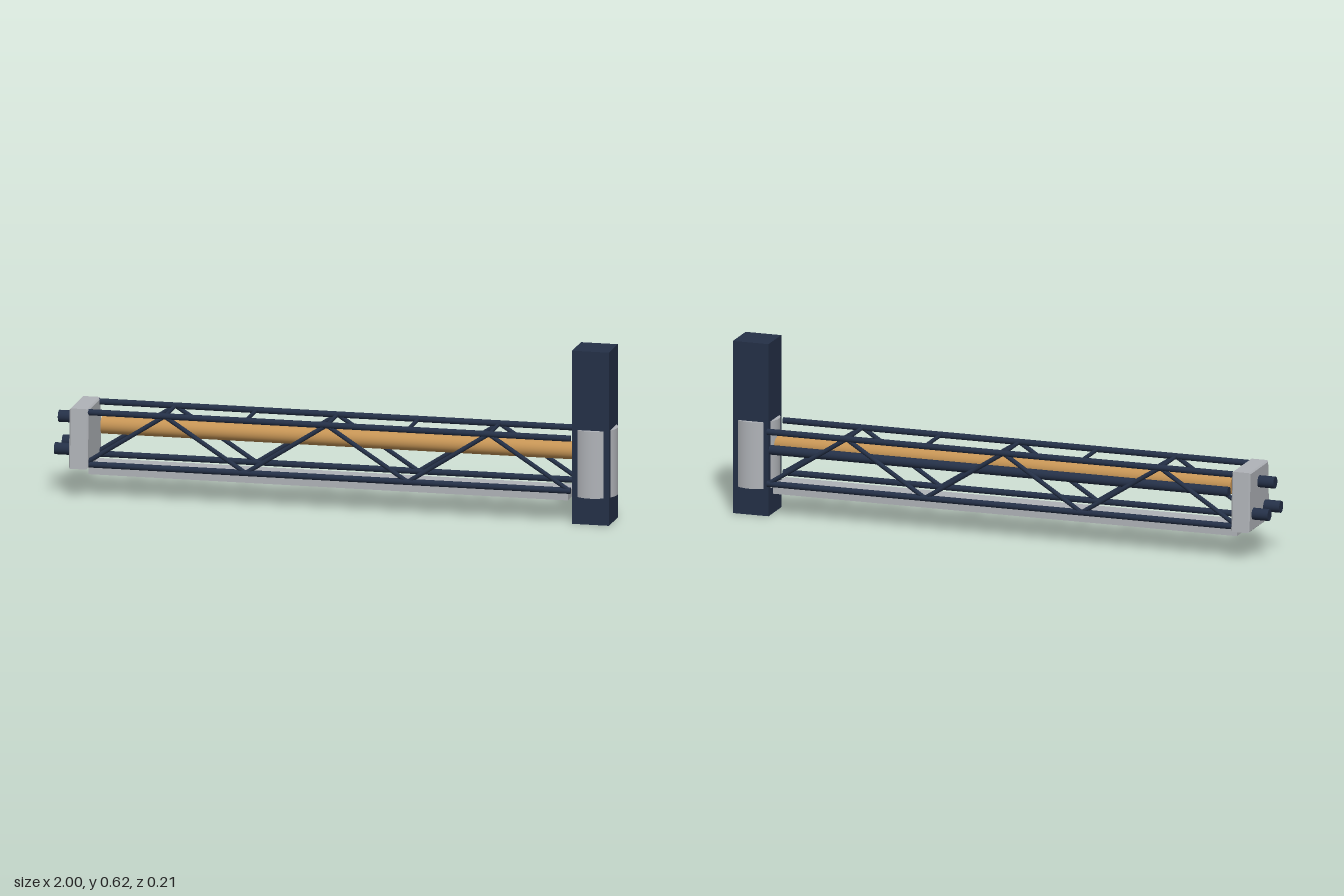
import * as THREE from 'three';

const mat = (name, color) => {
  const m = new THREE.MeshStandardMaterial({ color });
  m.name = name;
  return m;
};

export function createModel() {
  const navy = mat('navy', 0x243047);
  const grey = mat('lightGrey', 0xb0b3b8);
  const gold = mat('copper', 0xc59455);
  const model = new THREE.Group();
  model.name = 'trussArm';

  const add = (name, geometry, material, x = 0, y = 0, z = 0) => {
    const mesh = new THREE.Mesh(geometry, material);
    mesh.name = name;
    mesh.position.set(x, y, z);
    model.add(mesh);
    return mesh;
  };

  // Round bar between two points
  const bar = (name, a, b, r, material, sides = 16) => {
    const p = new THREE.Vector3(...a);
    const d = new THREE.Vector3(...b).sub(p);
    const mesh = add(name, new THREE.CylinderGeometry(r, r, d.length(), sides), material);
    mesh.position.copy(p).addScaledVector(d, 0.5);
    mesh.quaternion.setFromUnitVectors(new THREE.Vector3(0, 1, 0), d.normalize());
    return mesh;
  };

  // Square column with a round collar showing through its faces
  add('column', new THREE.BoxGeometry(0.132, 0.62, 0.132), navy, 0.918, 0.31, 0);
  add('collar', new THREE.CylinderGeometry(0.081, 0.081, 0.24, 48), grey, 0.918, 0.217, 0);

  // Tapered end plate with a slight bevel
  const bevel = 0.005;
  const outline = new THREE.Shape([
    new THREE.Vector2(-0.101, 0.113), new THREE.Vector2(0.101, 0.113),
    new THREE.Vector2(0.091, 0.317), new THREE.Vector2(-0.091, 0.317),
  ]);
  const plateGeo = new THREE.ExtrudeGeometry(outline, {
    depth: 0.058, bevelEnabled: true, bevelSegments: 1, bevelSize: bevel, bevelThickness: bevel,
  });
  plateGeo.rotateY(Math.PI / 2);
  add('endPlate', plateGeo, grey, -0.936, 0, 0);

  // Three connector pins on the end plate
  for (const [y, z] of [[0.27, 0], [0.168, -0.06], [0.168, 0.06]]) {
    bar('connectorPin', [-1, y, z], [-0.93, y, z], 0.021, navy, 24);
  }

  // Truss sides: chords and zigzag diagonals
  const top = 0.309, low = 0.122, half = 0.083;
  const nodeX = (i) => -0.893 + 0.29 * i;
  const nodeY = (i) => (i % 2 ? top : low);
  for (const z of [-half, half]) {
    for (const y of [top, low]) bar('chord', [-0.89, y, z], [0.85, y, z], 0.011, navy);
    for (let i = 0; i < 6; i++) {
      bar('diagonal', [nodeX(i), nodeY(i), z], [nodeX(i + 1), nodeY(i + 1), z], 0.008, navy, 12);
    }
  }

  // Cross bars joining the two upper chords
  for (let i = 1; i < 6; i++) {
    bar('crossBar', [nodeX(i), top, -half], [nodeX(i), top, half], 0.007, navy, 12);
  }

  // Pipes running inside the truss
  bar('mainPipe', [-0.845, 0.248, 0], [0.855, 0.248, 0], 0.032, gold, 32);
  bar('sidePipe', [-0.845, 0.235, -0.047], [0.855, 0.235, -0.047], 0.017, navy, 24);

  // Tray under the truss
  add('tray', new THREE.BoxGeometry(1.716, 0.029, 0.126), grey, -0.022, 0.0965, 0);

  return model;
}
